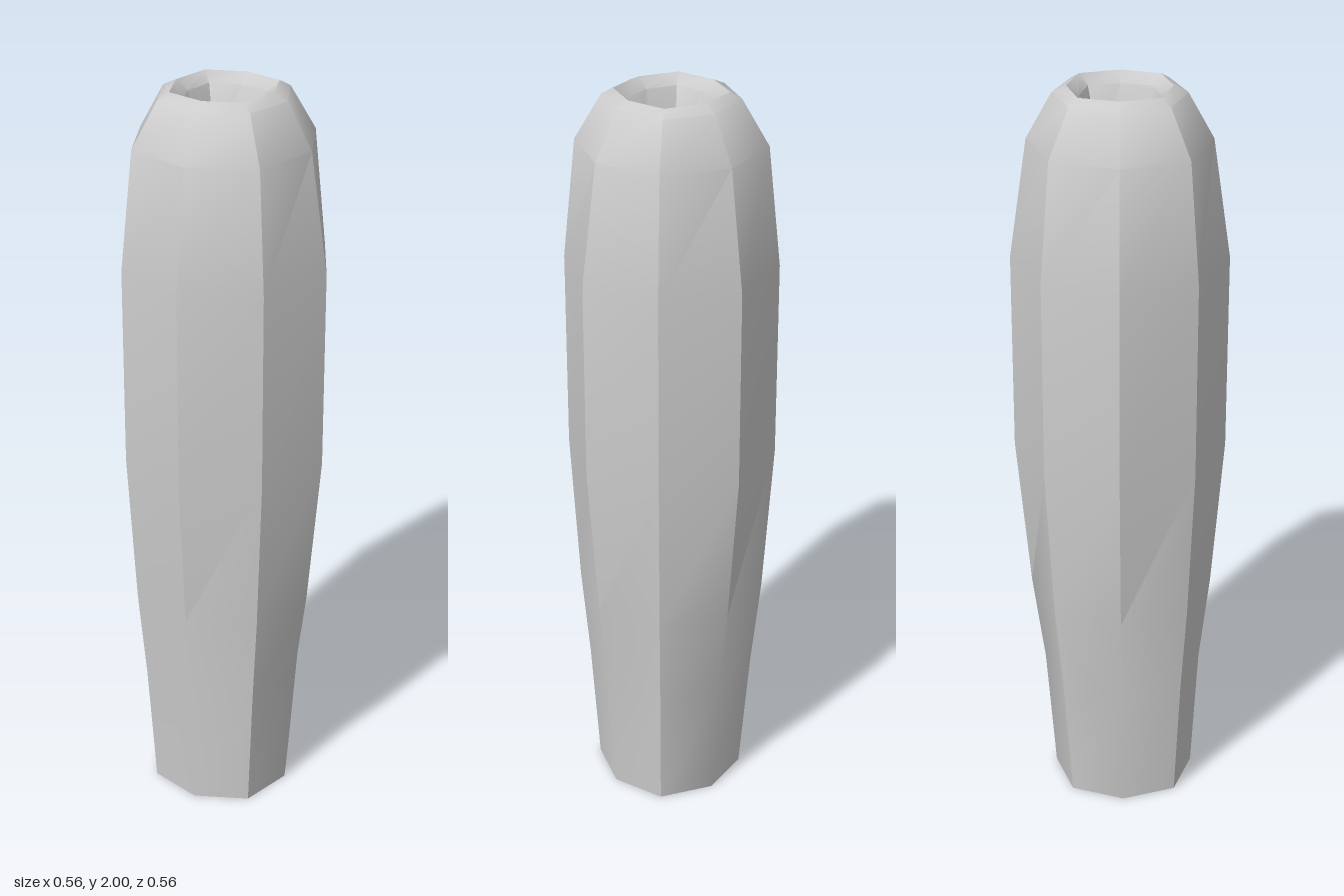
import * as THREE from 'three';
import { toCreasedNormals } from 'three/addons/utils/BufferGeometryUtils.js';

// Eight-sided sections: [y, radius on the axes, corner offset on the diagonals, z shift]
const outerSections = [
  [0, 0.192, 0.142, 0.01],
  [0.35, 0.214, 0.16, 0.006],
  [0.6, 0.245, 0.177, 0.003],
  [1.02, 0.28, 0.195, 0],
  [1.55, 0.28, 0.195, 0],
  [1.865, 0.234, 0.172, 0],
  [1.983, 0.168, 0.123, 0],
  [2.0, 0.132, 0.102, 0],
];
const socketSections = [
  [2.0, 0.132, 0.102, 0],
  [1.975, 0.1, 0.08, 0],
  [1.82, 0.062, 0.053, 0],
];

function ring([y, a, d, shift]) {
  return Array.from({ length: 8 }, (_, i) => {
    const r = i % 2 ? d * Math.SQRT2 : a;
    const t = (i * Math.PI) / 4;
    return [r * Math.sin(t), y, r * Math.cos(t) + shift];
  });
}

// Joins the sections with quads; caps close the first or last section
function loft(sections, { capStart = false, capEnd = false }) {
  const rings = sections.map(ring);
  const positions = [];
  const tri = (...points) => points.forEach((p) => positions.push(...p));
  for (let s = 0; s < rings.length - 1; s++) {
    for (let i = 0; i < 8; i++) {
      const j = (i + 1) % 8;
      const [a, b, c, d] = [rings[s][i], rings[s][j], rings[s + 1][j], rings[s + 1][i]];
      tri(a, b, c);
      tri(a, c, d);
    }
  }
  const first = rings[0];
  const last = rings[rings.length - 1];
  const centre = ([y, , , shift]) => [0, y, shift];
  for (let i = 0; i < 8; i++) {
    const j = (i + 1) % 8;
    if (capStart) tri(centre(sections[0]), first[j], first[i]);
    if (capEnd) tri(centre(sections[sections.length - 1]), last[i], last[j]);
  }
  const geometry = new THREE.BufferGeometry();
  geometry.setAttribute('position', new THREE.Float32BufferAttribute(positions, 3));
  return toCreasedNormals(geometry, THREE.MathUtils.degToRad(42));
}

export function createModel() {
  const model = new THREE.Group();
  model.name = 'taperedHandle';
  const material = new THREE.MeshStandardMaterial({ color: 0xcccccc });

  // Swelling grip with a flat base
  const grip = new THREE.Mesh(loft(outerSections, { capStart: true }), material);
  grip.name = 'grip';

  // Rim and tapered hole in the top
  const socket = new THREE.Mesh(loft(socketSections, { capEnd: true }), material);
  socket.name = 'socket';

  model.add(grip, socket);
  return model;
}
